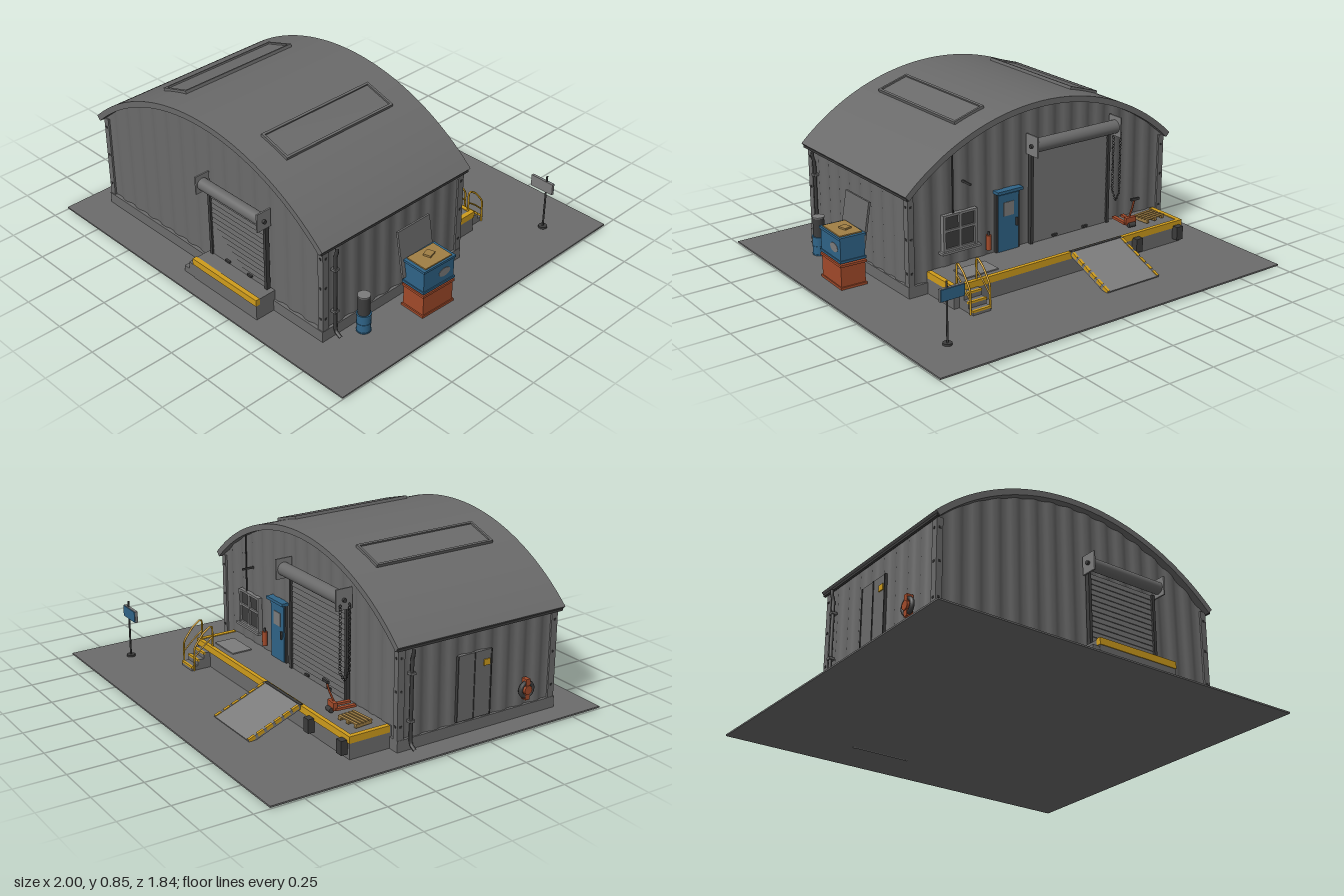
import * as THREE from 'three';
import { toCreasedNormals } from 'three/addons/utils/BufferGeometryUtils.js';

const mat = (name, color, side = THREE.FrontSide) => {
  const m = new THREE.MeshStandardMaterial({ color, side });
  m.name = name;
  return m;
};

export function createModel() {
  const model = new THREE.Group();
  model.name = 'warehouse';
  const concrete = mat('concrete', 0x6c6c6c);
  const metal = mat('sheet metal', 0x6a6a6a, THREE.DoubleSide);
  const pale = mat('pale steel', 0x7c7c7c);
  const dark = mat('dark steel', 0x3c3c3c);
  const yellow = mat('safety yellow', 0xcf9c1c);
  const blue = mat('blue paint', 0x2f6488);
  const orange = mat('rust orange', 0xa24a2a);
  const wood = mat('wood and cardboard', 0xa07f45);

  const add = (name, geo, m, x = 0, y = 0, z = 0, parent = model) => {
    const mesh = new THREE.Mesh(geo, m);
    mesh.name = name;
    mesh.position.set(x, y, z);
    parent.add(mesh);
    return mesh;
  };
  const group = (name, x = 0, y = 0, z = 0) => {
    const g = new THREE.Group();
    g.name = name;
    g.position.set(x, y, z);
    model.add(g);
    return g;
  };
  // Box given by its limits on each axis
  const box = (name, m, [x0, x1], [y0, y1], [z0, z1], parent = model) =>
    add(name, new THREE.BoxGeometry(x1 - x0, y1 - y0, z1 - z0), m,
      (x0 + x1) / 2, (y0 + y1) / 2, (z0 + z1) / 2, parent);
  const cyl = (name, m, r, h, x, y, z, parent = model, n = 20) =>
    add(name, new THREE.CylinderGeometry(r, r, h, n), m, x, y, z, parent);
  const tube = (name, m, r, pts, parent = model) => {
    const path = new THREE.CatmullRomCurve3(pts.map(p => new THREE.Vector3(...p)), false, 'catmullrom', 0.2);
    return add(name, new THREE.TubeGeometry(path, 32, r, 8), m, 0, 0, 0, parent);
  };

  box('ground', concrete, [-1, 1], [0, 0.008], [-0.92, 0.92]);
  box('foundation', concrete, [-0.885, 0.68], [0, 0.065], [-0.19, 0.73]);

  // Arched roof
  const CX = -0.1025, CY = -0.333, R = 1.173, HALF = 0.754;
  const arch = new THREE.Shape();
  arch.absarc(0, 0, R, Math.PI / 2 - HALF, Math.PI / 2 + HALF, false);
  arch.absarc(0, 0, R - 0.03, Math.PI / 2 + HALF, Math.PI / 2 - HALF, true);
  const roofGeo = new THREE.ExtrudeGeometry(arch, { depth: 0.96, bevelEnabled: false, curveSegments: 32 });
  add('roof', toCreasedNormals(roofGeo, 0.5), metal, CX, CY, -0.21);

  // Corrugated walls: a wavy strip with a top edge set by a rule
  const wall = (name, length, top, x, z, turn) => {
    const n = Math.round(length / 0.1) * 8, pos = [], idx = [];
    for (let i = 0; i <= n; i++) {
      const u = (i / n - 0.5) * length;
      const wave = 0.006 * Math.max(-0.7, Math.min(0.7, Math.cos(i / 8 * Math.PI * 2)));
      pos.push(u, 0.05, wave, u, top(u), wave);
      if (i < n) {
        const a = i * 2;
        idx.push(a, a + 2, a + 1, a + 1, a + 2, a + 3);
      }
    }
    const g = new THREE.BufferGeometry();
    g.setAttribute('position', new THREE.Float32BufferAttribute(pos, 3));
    g.setIndex(idx);
    g.computeVertexNormals();
    add(name, g, metal, x, 0, z).rotation.y = turn;
  };
  const gable = u => CY + Math.sqrt(1.15 ** 2 - u * u);
  wall('frontWall', 1.545, gable, CX, 0.715, 0);
  wall('backWall', 1.545, gable, CX, -0.18, Math.PI);
  wall('leftWall', 0.895, () => 0.52, 0.67, 0.2675, Math.PI / 2);
  wall('rightWall', 0.895, () => 0.52, -0.875, 0.2675, -Math.PI / 2);

  // Corner trims with bolts
  for (const sx of [-1, 1]) for (const sz of [-1, 1]) {
    const x = CX + sx * 0.765, z = 0.2675 + sz * 0.44;
    box('cornerTrim', metal, [x - 0.016, x + 0.016], [0.065, 0.51], [z - 0.018, z + 0.018]);
    for (const y of [0.13, 0.3, 0.46]) {
      box('bolt', dark, [x - 0.019, x + 0.019], [y - 0.005, y + 0.005], [z - 0.005, z + 0.005]);
      box('bolt', dark, [x - 0.005, x + 0.005], [y - 0.005, y + 0.005], [z - 0.021, z + 0.021]);
    }
  }

  // Skylights lying on the arch
  for (const x of [-0.45, 0.243]) {
    const a = Math.asin((x - CX) / R);
    const g = group('skylight', x, CY + R * Math.cos(a), 0.27);
    g.rotation.z = -a;
    box('skylightPane', metal, [-0.08, 0.08], [-0.01, 0.004], [-0.33, 0.33], g);
    for (const s of [-1, 1]) {
      box('skylightFrame', metal, [s * 0.082 - 0.006, s * 0.082 + 0.006], [-0.01, 0.012], [-0.336, 0.336], g);
      box('skylightFrame', metal, [-0.088, 0.088], [-0.01, 0.012], [s * 0.33 - 0.006, s * 0.33 + 0.006], g);
    }
  }

  // Roller shutters, built facing +z
  const shutter = (name, x, z, turn, w, y0, y1, r) => {
    const g = group(name, x, 0, z);
    g.rotation.y = turn;
    const n = Math.round((y1 - y0) / 0.026), h = (y1 - y0) / n;
    for (let i = 0; i < n; i++) {
      const slat = box('slat', metal, [-w / 2, w / 2], [y0 + i * h, y0 + (i + 1) * h], [0, 0.012], g);
      slat.rotation.x = -0.15;
    }
    for (const s of [-1, 1]) {
      box('guide', dark, [s * w / 2 - 0.008, s * w / 2 + 0.008], [y0, y1], [0, 0.022], g);
      const p = s * (w / 2 + 0.018);
      box('endPlate', pale, [p - 0.004, p + 0.004], [y1 - 0.015, y1 + r * 2 + 0.02], [0, r * 2 + 0.02], g);
      cyl('axle', dark, 0.01, 0.02, p + s * 0.006, y1 + r, r + 0.012, g).rotation.z = Math.PI / 2;
    }
    cyl('drum', metal, r, w + 0.03, 0, y1 + r, r + 0.012, g, 28).rotation.z = Math.PI / 2;
    for (const s of [-0.2, 0.2]) box('handle', dark, [s * w - 0.015, s * w + 0.015], [y0 + 0.008, y0 + 0.018], [0.01, 0.022], g);
  };
  shutter('frontShutter', 0.13, 0.725, 0, 0.385, 0.12, 0.49, 0.03);
  shutter('backShutter', -0.26, -0.19, Math.PI, 0.48, 0.12, 0.6, 0.034);

  // Pull chain hanging in a loop beside the back shutter
  for (let i = 0; i < 52; i++) {
    const t = i / 51, y = 0.24 + 0.37 * Math.abs(2 * t - 1);
    const z = -0.235 + 0.026 * Math.max(-1, Math.min(1, (0.5 - t) * 16));
    const link = add('chainLink', new THREE.TorusGeometry(0.007, 0.0018, 4, 8), dark, -0.53, y, z);
    link.rotation.y = i % 2 ? Math.PI / 2 : 0.2;
  }

  // Front loading step
  box('frontDock', concrete, [-0.09, 0.355], [0, 0.118], [0.72, 0.835]);
  box('frontDockEdge', yellow, [-0.092, 0.357], [0.088, 0.122], [0.815, 0.839]);
  box('frontStepLow', concrete, [-0.165, -0.09], [0, 0.04], [0.72, 0.832]);
  box('frontStepHigh', concrete, [-0.128, -0.09], [0, 0.08], [0.72, 0.832]);

  // Back loading dock
  box('backDock', concrete, [-0.825, 0.575], [0, 0.118], [-0.405, -0.18]);
  box('dockEdge', yellow, [-0.828, 0.578], [0.088, 0.122], [-0.409, -0.388]);
  for (const x of [-0.816, 0.566]) box('dockEdge', yellow, [x - 0.012, x + 0.012], [0.088, 0.122], [-0.4, -0.19]);
  for (const x of [-0.79, -0.52]) box('bumper', dark, [x - 0.02, x + 0.02], [0.03, 0.1], [-0.44, -0.4]);
  box('floorMat', pale, [0.29, 0.47], [0.118, 0.124], [-0.36, -0.25]);
  box('dockLip', dark, [-0.425, -0.105], [0.1, 0.126], [-0.413, -0.396]);

  // Ramp
  const ramp = group('ramp', -0.265, 0.062, -0.548);
  ramp.rotation.x = -Math.atan2(0.108, 0.275);
  box('rampPlate', pale, [-0.148, 0.148], [-0.012, 0.008], [-0.148, 0.148], ramp);
  for (const s of [-1, 1]) {
    box('rampSide', pale, [s * 0.154 - 0.006, s * 0.154 + 0.006], [-0.014, 0.01], [-0.148, 0.148], ramp);
    for (let i = 0; i < 6; i++)
      box('rampStripe', yellow, [s * 0.154 - 0.007, s * 0.154 + 0.007], [-0.006, 0.012], [-0.145 + i * 0.05, -0.11 + i * 0.05], ramp);
  }

  // Stairs with handrails
  for (let i = 0; i < 3; i++) {
    const y = 0.09 - i * 0.03, z = -0.405 - i * 0.036;
    box('stair', concrete, [0.445, 0.545], [0, y], [z - 0.036, z]);
    box('stairEdge', yellow, [0.444, 0.546], [y - 0.008, y + 0.002], [z - 0.038, z - 0.026]);
  }
  for (const x of [0.44, 0.55]) {
    tube('handrail', yellow, 0.005, [[x, 0.12, -0.392], [x, 0.22, -0.392], [x, 0.228, -0.405], [x, 0.2, -0.445],
      [x, 0.145, -0.488], [x, 0.12, -0.498], [x, 0.01, -0.5]]);
    tube('midRail', yellow, 0.004, [[x, 0.17, -0.392], [x, 0.13, -0.445], [x, 0.08, -0.499]]);
  }

  // Back door, window, lamp and extinguisher
  box('doorFrame', dark, [0.045, 0.185], [0.118, 0.42], [-0.197, -0.18]);
  box('door', blue, [0.055, 0.175], [0.12, 0.41], [-0.203, -0.19]);
  box('doorPane', pale, [0.085, 0.145], [0.3, 0.37], [-0.206, -0.2]);
  box('doorHandle', dark, [0.065, 0.073], [0.24, 0.28], [-0.214, -0.2]);
  box('doorCanopy', blue, [0.04, 0.19], [0.42, 0.435], [-0.22, -0.18]);
  box('windowGlass', dark, [0.31, 0.48], [0.21, 0.37], [-0.194, -0.18]);
  for (const x of [0.305, 0.395, 0.485]) box('windowBar', pale, [x - 0.007, x + 0.007], [0.2, 0.38], [-0.204, -0.18]);
  for (const y of [0.205, 0.3, 0.375]) box('windowBar', pale, [0.298, 0.492], [y - 0.006, y + 0.006], [-0.203, -0.18]);
  box('windowSill', pale, [0.285, 0.505], [0.188, 0.2], [-0.215, -0.18]);
  tube('conduit', dark, 0.004, [[0.43, 0.38, -0.192], [0.43, 0.5, -0.192], [0.43, 0.68, -0.192]]);
  box('lampArm', dark, [0.365, 0.373], [0.52, 0.53], [-0.25, -0.18]);
  cyl('extinguisher', orange, 0.013, 0.075, 0.235, 0.19, -0.205);
  cyl('extinguisherValve', dark, 0.006, 0.02, 0.235, 0.235, -0.205);

  // Pallet
  const pallet = group('pallet', -0.705, 0.122, -0.295);
  pallet.rotation.y = 0.1;
  for (let i = 0; i < 5; i++) box('board', wood, [-0.065, 0.065], [0.014, 0.02], [-0.047 + i * 0.02, -0.033 + i * 0.02], pallet);
  for (const x of [-0.055, 0, 0.055]) box('runner', wood, [x - 0.008, x + 0.008], [0, 0.014], [-0.047, 0.047], pallet);

  // Pallet jack
  const jack = group('palletJack', -0.56, 0.122, -0.29);
  jack.rotation.y = -0.1;
  for (const s of [-1, 1]) box('fork', orange, [s * 0.025 - 0.01, s * 0.025 + 0.01], [0.012, 0.024], [-0.03, 0.075], jack);
  box('jackBody', orange, [-0.03, 0.03], [0.012, 0.05], [-0.04, -0.02], jack);
  cyl('jackWheel', dark, 0.012, 0.04, 0, 0.012, -0.045, jack).rotation.z = Math.PI / 2;
  tube('jackHandle', orange, 0.005, [[0, 0.04, -0.02], [0, 0.1, -0.045], [0, 0.155, -0.062]], jack);
  box('jackGrip', dark, [-0.025, 0.025], [0.15, 0.162], [-0.07, -0.058], jack);

  // Downspouts
  for (const [s, z] of [[1, 0.655], [-1, -0.12]]) {
    const x = d => CX + s * (0.773 + d);
    tube('downspout', dark, 0.009, [[x(0.025), 0.5, z], [x(0.022), 0.47, z], [x(0.014), 0.44, z], [x(0.014), 0.25, z],
      [x(0.014), 0.06, z], [x(0.02), 0.035, z], [x(0.05), 0.018, z]]);
    for (const y of [0.15, 0.38]) box('pipeClip', metal, [x(0.012) - 0.014, x(0.012) + 0.014], [y - 0.006, y + 0.006], [z - 0.014, z + 0.014]);
    box('gutter', dark, [x(0.015) - 0.006, x(0.015) + 0.006], [0.5, 0.512], [-0.205, 0.745]);
  }

  // Stacked crates with cardboard inside and a leaning lid
  const crates = group('crates', 0.81, 0, 0.18);
  crates.rotation.y = -0.04;
  box('lowerCrate', orange, [-0.065, 0.065], [0.01, 0.132], [-0.095, 0.095], crates);
  box('upperCrate', blue, [-0.065, 0.065], [0.142, 0.262], [-0.097, 0.097], crates);
  for (const [m, y] of [[orange, 0.014], [orange, 0.128], [blue, 0.148], [blue, 0.264]])
    box('crateRim', m, [-0.07, 0.07], [y - 0.006, y + 0.006], [-0.102, 0.102], crates);
  box('cardboard', wood, [-0.06, 0.06], [0.26, 0.276], [-0.085, 0.085], crates);
  box('carton', wood, [-0.03, 0.01], [0.27, 0.285], [-0.03, 0.015], crates).rotation.y = 0.3;
  const patch = add('palePatch', new THREE.CylinderGeometry(0.028, 0.028, 0.003, 20), pale, 0.0655, 0.205, -0.035, crates);
  patch.rotation.z = Math.PI / 2;
  patch.scale.set(0.8, 1, 1.3);
  add('leaningLid', new THREE.BoxGeometry(0.012, 0.24, 0.21), metal, 0.732, 0.295, 0.19).rotation.z = 0.17;

  // Barrel with a narrower bin on top
  cyl('barrel', blue, 0.034, 0.1, 0.743, 0.056, 0.533);
  for (const y of [0.012, 0.055, 0.103]) cyl('barrelHoop', blue, 0.036, 0.006, 0.743, y, 0.533);
  cyl('barrelTop', dark, 0.029, 0.1, 0.743, 0.156, 0.533);
  cyl('barrelLid', pale, 0.031, 0.006, 0.743, 0.206, 0.533);

  // Service door, warning plate and hose reel on the right wall
  box('serviceDoor', metal, [-0.889, -0.87], [0.075, 0.4], [0.14, 0.33]);
  for (const z of [0.14, 0.235, 0.33]) box('serviceDoorTrim', dark, [-0.892, -0.87], [0.075, 0.4], [z - 0.003, z + 0.003]);
  box('warningPlate', yellow, [-0.894, -0.888], [0.325, 0.355], [0.285, 0.32]);
  const reel = group('hoseReel', -0.9, 0.15, 0.54);
  reel.rotation.y = Math.PI / 2;
  add('hose', new THREE.TorusGeometry(0.035, 0.011, 8, 24), dark, 0, 0, 0, reel);
  cyl('reelHub', orange, 0.022, 0.034, 0, 0, 0, reel).rotation.x = Math.PI / 2;
  box('reelBracket', orange, [-0.012, 0.012], [-0.05, 0.055], [-0.012, 0.02], reel);

  // Signpost
  cyl('signBase', dark, 0.022, 0.012, 0.8, 0.012, -0.68);
  cyl('signPole', dark, 0.005, 0.3, 0.8, 0.16, -0.68, model, 10);
  box('signPlate', pale, [0.71, 0.84], [0.22, 0.28], [-0.688, -0.674]);
  box('signFace', blue, [0.712, 0.838], [0.222, 0.278], [-0.692, -0.687]);

  return model;
}
